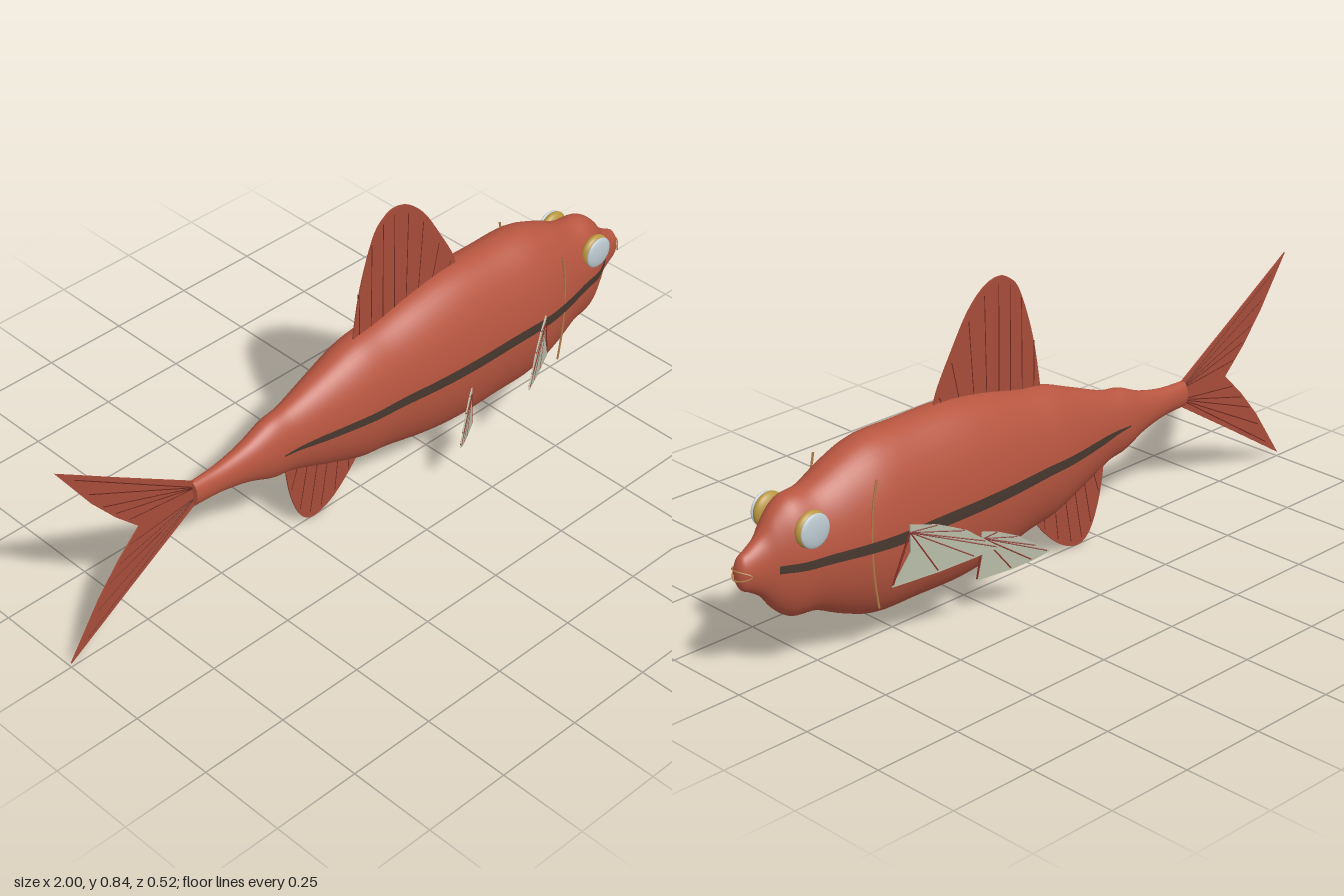
import * as THREE from 'three';

const material = (name, color, side = THREE.FrontSide) => {
  const m = new THREE.MeshStandardMaterial({ color, side });
  m.name = name;
  return m;
};

const MID = 0.32; // height of the body axis

// Body stations: x, half height, half width
const stations = new THREE.CatmullRomCurve3([
  [-0.585, 0.037, 0.02], [-0.5, 0.041, 0.026], [-0.41, 0.06, 0.037], [-0.33, 0.092, 0.05],
  [-0.27, 0.102, 0.056], [-0.15, 0.146, 0.08], [-0.04, 0.186, 0.099], [0.05, 0.2, 0.106],
  [0.18, 0.229, 0.12], [0.3, 0.245, 0.127], [0.45, 0.244, 0.128], [0.59, 0.24, 0.128],
  [0.68, 0.21, 0.115], [0.77, 0.169, 0.094], [0.84, 0.16, 0.08], [0.885, 0.126, 0.058],
  [0.92, 0.082, 0.04], [0.955, 0.057, 0.031], [0.978, 0.044, 0.024], [0.989, 0.02, 0.012], [0.991, 0, 0],
].map(p => new THREE.Vector3(...p)));

function stationAt(x) {
  let a = 0, b = 1;
  for (let i = 0; i < 30; i++) {
    const m = (a + b) / 2;
    if (stations.getPoint(m).x < x) a = m; else b = m;
  }
  return stations.getPoint(a);
}

function bodyGeometry() {
  const g = new THREE.CylinderGeometry(1, 1, 1, 56, 100, false, Math.PI / 2);
  const p = g.attributes.position;
  for (let i = 0; i < p.count; i++) {
    const s = stations.getPoint(THREE.MathUtils.clamp(p.getY(i) + 0.5, 0, 1));
    p.setXYZ(i, s.x, MID - p.getX(i) * s.y, p.getZ(i) * s.z);
  }
  g.computeVertexNormals();
  return g;
}

// Tapered ribbon that follows the flank
function stripeGeometry() {
  const g = new THREE.PlaneGeometry(1, 2, 80, 4);
  const p = g.attributes.position;
  for (let i = 0; i < p.count; i++) {
    const t = p.getX(i) + 0.5, x = -0.32 + t * 1.22, s = stationAt(x);
    const half = x < -0.2 ? 0.002 + 0.07 * (x + 0.32) : 0.0104 + 0.006 * Math.sin(Math.PI * (x + 0.2) / 1.1);
    const dy = p.getY(i) * half;
    p.setXYZ(i, x, MID + dy, s.z * Math.sqrt(1 - (dy / s.y) ** 2) + 0.003);
  }
  g.computeVertexNormals();
  return g;
}

// Thin fin with raised rays; zOf(x) sweeps it away from the body
function fin(name, outline, rays, membrane, rayMat, smooth = true, zOf = () => 0) {
  const group = new THREE.Group();
  group.name = name;
  const shape = new THREE.Shape().moveTo(...outline[0]);
  const rest = outline.slice(1);
  if (smooth) shape.splineThru(rest.map(q => new THREE.Vector2(...q)));
  else rest.forEach(q => shape.lineTo(...q));
  const g = new THREE.ExtrudeGeometry(shape, { depth: 0.004, bevelEnabled: false, curveSegments: 32 });
  g.translate(0, 0, -0.002);
  const p = g.attributes.position;
  for (let i = 0; i < p.count; i++) p.setZ(i, p.getZ(i) + zOf(p.getX(i)));
  g.computeVertexNormals();
  const skin = new THREE.Mesh(g, membrane);
  skin.name = name + 'Membrane';
  group.add(skin);
  for (const [x1, y1, x2, y2] of rays) {
    const line = new THREE.LineCurve3(new THREE.Vector3(x1, y1, zOf(x1)), new THREE.Vector3(x2, y2, zOf(x2)));
    const ray = new THREE.Mesh(new THREE.TubeGeometry(line, 1, 0.0028, 6), rayMat);
    ray.name = name + 'Ray';
    group.add(ray);
  }
  return group;
}

// Rays spreading from one root point to a list of ends
const fan = (rx, ry, ends) => ends.map(([x, y]) => [rx, ry, rx + (x - rx) * 0.96, ry + (y - ry) * 0.96]);

export function createModel() {
  const red = material('bodyRed', 0xb85640);
  const finRed = material('finRed', 0xa84c39);
  const darkRay = material('darkRay', 0x6a281e);
  const pale = material('paleFin', 0xbabeaa);
  const redRay = material('redRay', 0x8a3024);
  const gold = material('eyeGold', 0xb8963f);
  const lens = material('eyeSilver', 0xbccad0);
  const dark = material('stripeBrown', 0x47382f, THREE.DoubleSide);
  const tan = material('gillTan', 0xb47d4a);

  const model = new THREE.Group();
  model.name = 'fish';
  const add = (parent, name, geometry, mat) => {
    const m = new THREE.Mesh(geometry, mat);
    m.name = name;
    parent.add(m);
    return m;
  };

  add(model, 'body', bodyGeometry(), red);

  // Dorsal fin
  const dorsal = [[-0.03, 0.48], [-0.025, 0.53], [0.0, 0.66], [0.045, 0.79], [0.085, 0.835], [0.125, 0.846],
    [0.175, 0.828], [0.23, 0.775], [0.29, 0.68], [0.335, 0.6], [0.355, 0.54]];
  model.add(fin('dorsalFin', dorsal, dorsal.slice(2, 10).map(([x, y], i) =>
    [-0.005 + i * 0.042, 0.5, x - 0.006, y - 0.02]), finRed, darkRay));

  // Anal fin
  const anal = [[0.0, 0.16], [-0.01, 0.125], [-0.05, 0.075], [-0.1, 0.03], [-0.15, 0.006], [-0.19, 0.006],
    [-0.225, 0.04], [-0.255, 0.12], [-0.27, 0.22], [-0.25, 0.25]];
  model.add(fin('analFin', anal, anal.slice(2, 8).map(([x, y], i) =>
    [-0.04 - i * 0.038, 0.2, x + 0.003, y + 0.015]), finRed, darkRay));

  // Forked tail fin
  const upper = [[-0.57, 0.352], [-0.8, 0.497], [-1, 0.625], [-0.9, 0.475], [-0.83, 0.39]];
  const flip = ([x, y]) => [x, 2 * MID - y];
  const tail = [...upper, [-0.76, MID], ...upper.map(flip).reverse()];
  const tailEnds = [[-0.96, 0.585], [-0.92, 0.515], [-0.88, 0.45], [-0.84, 0.405], [-0.8, 0.36]];
  model.add(fin('tailFin', tail, [...fan(-0.575, 0.335, tailEnds), ...fan(-0.575, 0.305, tailEnds.map(flip))],
    finRed, darkRay, false));

  // Mouth ring, wrapped back around the snout
  const lip = new THREE.CatmullRomCurve3(Array.from({ length: 24 }, (_, i) => {
    const a = i / 24 * Math.PI * 2, c = Math.cos(a);
    return new THREE.Vector3(0.995 - 0.025 * c * c, MID + 0.013 * Math.sin(a), 0.035 * c);
  }), true);
  add(model, 'mouth', new THREE.TubeGeometry(lip, 48, 0.002, 6, true), tan);

  // Paired parts, mirrored across the body
  for (const s of [1, -1]) {
    const side = new THREE.Group();
    side.name = s > 0 ? 'rightSide' : 'leftSide';
    side.scale.z = s;
    model.add(side);

    add(side, 'lateralStripe', stripeGeometry(), dark);

    const eyeball = add(side, 'eyeball', new THREE.SphereGeometry(0.048, 32, 20), gold);
    eyeball.position.set(0.82, 0.41, 0.077);
    eyeball.scale.z = 0.44;
    const cornea = add(side, 'eyeLens', new THREE.SphereGeometry(0.045, 32, 20), lens);
    cornea.position.set(0.82, 0.41, 0.092);
    cornea.scale.z = 0.22;

    const gill = new THREE.CatmullRomCurve3([[0.643, 0.495], [0.657, 0.42], [0.662, 0.32], [0.657, 0.23], [0.645, 0.15]]
      .map(([x, y]) => new THREE.Vector3(x, y, 0.116)));
    add(side, 'gillLine', new THREE.TubeGeometry(gill, 32, 0.003, 6), tan);

    const pectoral = [[0.56, 0.355], [0.5, 0.348], [0.44, 0.325], [0.395, 0.29], [0.37, 0.27], [0.42, 0.25],
      [0.5, 0.22], [0.6, 0.19], [0.56, 0.28]];
    side.add(fin('pectoralFin', pectoral, fan(0.56, 0.335, pectoral.slice(1, 8)), pale, redRay, false,
      x => 0.115 + (0.6 - x) * 0.62));

    const pelvic = [[0.3, 0.24], [0.265, 0.237], [0.22, 0.22], [0.18, 0.19], [0.155, 0.172], [0.19, 0.15],
      [0.235, 0.13], [0.31, 0.105], [0.295, 0.19]];
    side.add(fin('pelvicFin', pelvic, fan(0.295, 0.222, pelvic.slice(1, 8)), pale, redRay, false,
      x => 0.112 + (0.31 - x) * 0.68));
  }
  return model;
}
